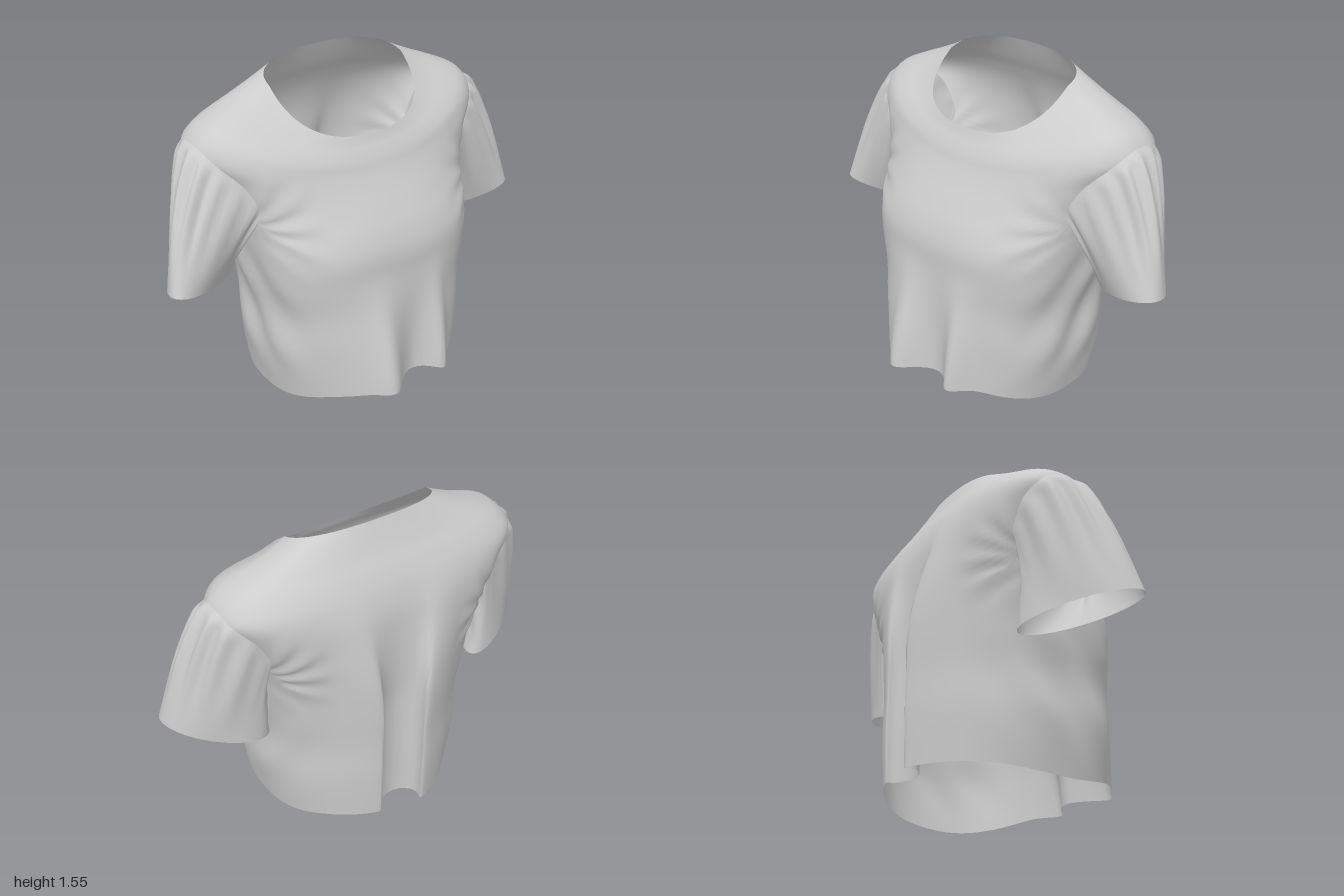
import * as THREE from 'three';

const SEG = 160, STEP = 5;                          // points round the torso, rings per table row
const HOLE = { r0: 25, r1: 42, half: 13 };          // armhole limits in the torso grid

// Torso rings, hem to neckline: half width, side y, side z, front y, front z, back y, back z, front and back squareness
const RINGS = [
  [0.49, 0.00, 0.00, 0.10, 0.45, 0.05, -0.455, 2.5, 2.6],
  [0.53, 0.25, 0.00, 0.32, 0.44, 0.28, -0.46, 2.5, 2.6],
  [0.525, 0.45, -0.02, 0.50, 0.43, 0.48, -0.46, 2.6, 2.6],
  [0.55, 0.62, -0.03, 0.64, 0.42, 0.65, -0.46, 2.8, 2.7],
  [0.57, 0.78, -0.05, 0.76, 0.415, 0.80, -0.465, 2.8, 2.8],
  [0.59, 0.90, -0.08, 0.86, 0.385, 0.92, -0.465, 2.6, 3.0],
  [0.63, 1.02, -0.11, 0.95, 0.34, 1.05, -0.46, 2.3, 3.2],
  [0.70, 1.15, -0.12, 1.04, 0.29, 1.17, -0.45, 2.1, 3.2],
  [0.765, 1.26, -0.13, 1.11, 0.255, 1.27, -0.425, 2.0, 3.0],
  [0.715, 1.345, -0.13, 1.16, 0.235, 1.35, -0.39, 2.1, 2.7],
  [0.61, 1.40, -0.13, 1.20, 0.215, 1.42, -0.35, 2.2, 2.5],
  [0.49, 1.445, -0.12, 1.235, 0.195, 1.49, -0.315, 2.3, 2.4],
  [0.37, 1.49, -0.10, 1.27, 0.18, 1.555, -0.285, 2.4, 2.4],
];
const ROWS = (RINGS.length - 1) * STEP;

const spow = (v, p) => Math.sign(v) * Math.abs(v) ** p;
const bump = (x, c, w) => Math.exp(-(((x - c) / w) ** 2));
const smooth = THREE.MathUtils.smoothstep;

// Smooth interpolation down the columns of the ring table
function ringAt(t) {
  const i = Math.min(Math.floor(t), RINGS.length - 2), f = t - i;
  const row = (k) => RINGS[THREE.MathUtils.clamp(k, 0, RINGS.length - 1)];
  const [a, b, c, d] = [row(i - 1), row(i), row(i + 1), row(i + 2)];
  return b.map((p, k) => p + 0.5 * f * (c[k] - a[k] +
    f * (2 * a[k] - 5 * p + 4 * c[k] - d[k] + f * (3 * (p - c[k]) + d[k] - a[k]))));
}

// Point on the torso; angle 0 is the front, 90 degrees the left side
function torsoPoint(row, seg) {
  const t = row / STEP;
  const [w, ys, zs, yf, zf, yb, zb, nf, nb] = ringAt(t);
  const a = (seg / SEG) * Math.PI * 2, front = Math.cos(a) >= 0;
  const n = front ? nf : nb;
  const rel = Math.abs(Math.cos(a)) ** (2 / n);
  let x = w * spow(Math.sin(a), 2 / n);
  let z = zs + rel * ((front ? zf : zb) - zs);
  const y = ys + rel ** (1.8 - 0.8 * smooth(t, 8.5, 12)) * ((front ? yf : yb) - ys);

  // Tension creases fanning out of the armpits
  const dx = Math.abs(x) - 0.62, dy = y - 0.92, d = Math.hypot(dx, dy);
  const fan = Math.sin(11 * Math.atan2(dy, -dx)) * smooth(d, 0.02, 0.1) * (1 - smooth(d, 0.1, 0.34));
  z += (front ? 1 : -1) * 0.011 * fan * rel;
  // Diagonal drapes on the flanks
  const flank = (1 - rel) * smooth(y, 0.05, 0.3) * (1 - smooth(y, 0.6, 0.85));
  x += Math.sign(x) * 0.011 * flank * Math.sin(15 * (y + 1.4 * z));
  // Hanging folds, deepest at the hem; the back pair leans over a centre pleat
  if (front) {
    const fade = 1 - smooth(y, 0.05, 0.72);
    z += rel * fade * (0.11 * bump(x, -0.13, 0.09) + 0.035 * bump(x, -0.27, 0.09) +
      0.085 * bump(x, 0.2, 0.06) - 0.02 * bump(x, 0.05, 0.07));
  } else {
    const fade = 1 - smooth(y, 0.6, 1.35);
    const right = bump(x, -0.2, 0.1), left = bump(x, 0.22, 0.1);
    z -= rel * fade * (0.115 * right + 0.085 * left - 0.025 * bump(x, 0, 0.09));
    x += fade * (0.1 * right ** 2 - 0.08 * left ** 2);
  }
  return new THREE.Vector3(x, y, z);
}

// Grid point of the torso, with the grid rounded off around each armhole
function gridPoint(i, j) {
  const rc = (HOLE.r0 + HOLE.r1) / 2, rh = (HOLE.r1 - HOLE.r0) / 2;
  const jc = j < SEG / 2 ? SEG / 4 : (3 * SEG) / 4;
  const u = (j - jc) / HOLE.half, v = (i - rc) / rh;
  const m = Math.max(Math.abs(u), Math.abs(v)), r = Math.hypot(u, v);
  const k = r > 0 ? THREE.MathUtils.lerp(m / r, 1, smooth(m, 1, 2)) : 1;
  return torsoPoint(rc + v * k * rh, jc + u * k * HOLE.half);
}

// Surface over a grid of points whose rows close on themselves
function gridGeometry(rows, skip = () => false) {
  const n = rows[0].length, index = [];
  for (let i = 0; i < rows.length - 1; i++) {
    for (let j = 0; j < n; j++) {
      if (skip(i, j)) continue;
      const k = (j + 1) % n, a = i * n + j, b = i * n + k, c = a + n, d = b + n;
      index.push(a, b, d, a, d, c);
    }
  }
  const g = new THREE.BufferGeometry().setFromPoints(rows.flat());
  g.setIndex(index);
  g.computeVertexNormals();
  return g;
}

// Points around the left armhole, in order
function armholeLoop(rows) {
  const { r0, r1, half } = HOLE, j0 = SEG / 4 - half, j1 = SEG / 4 + half, loop = [];
  for (let j = j0; j < j1; j++) loop.push(rows[r0][j]);
  for (let i = r0; i < r1; i++) loop.push(rows[i][j1]);
  for (let j = j1; j > j0; j--) loop.push(rows[r1][j]);
  for (let i = r1; i > r0; i--) loop.push(rows[i][j0]);
  return loop;
}

// Sleeve from the armhole down to its tilted cuff, gathered at the cap
function sleeveGeometry(loop, side) {
  const yc = 1.09, zc = -0.12, count = 28, rows = [];
  for (let i = 0; i <= count; i++) {
    const s = i / count;
    rows.push(loop.map((p) => {
      const phi = Math.atan2((p.z - zc) / 0.2, (p.y - yc) / 0.2);
      const c = Math.cos(phi), q = Math.sin(phi);
      const cuff = new THREE.Vector3(
        0.775 + 0.222 * c + 0.025 * q, 0.63 + 0.055 * c + 0.02 * q, -0.11 + (0.1 - 0.03 * side) * c + 0.15 * q);
      const v = p.clone().lerp(cuff, s);
      const cap = Math.max(c, 0);
      const puff = Math.sqrt(s) * (1 - s) * 2.2;
      const gather = 0.013 * Math.sin(15 * phi + 2 * s) * smooth(s, 0, 0.1) * (1 - smooth(s, 0.25, 0.9)) * (0.3 + 0.7 * cap);
      const wave = 0.008 * Math.sin(5 * phi + 1) * s * (1 - s) * 4;
      const out = gather + wave;
      v.x += 0.037 * puff * cap + out * c;
      v.y += 0.02 * puff * cap + out * 0.3 * c;
      v.z += out * q;
      v.x *= side;
      return v;
    }));
  }
  if (side > 0) rows.reverse(); // keeps the outside facing outward on both sleeves
  return gridGeometry(rows);
}

export function createModel() {
  const group = new THREE.Group();
  group.name = 'shirt';
  const cloth = new THREE.MeshStandardMaterial({ color: 0xcccccc, side: THREE.DoubleSide });
  const add = (name, geometry) => {
    const mesh = new THREE.Mesh(geometry, cloth);
    mesh.name = name;
    group.add(mesh);
  };

  // Torso with two armholes left open
  const rows = Array.from({ length: ROWS + 1 }, (_, i) =>
    Array.from({ length: SEG }, (_, j) => gridPoint(i, j)));
  const inArmhole = (i, j) => i >= HOLE.r0 && i < HOLE.r1 &&
    [SEG / 4, (3 * SEG) / 4].some((m) => j >= m - HOLE.half && j < m + HOLE.half);
  add('torso', gridGeometry(rows, inArmhole));

  // Sleeves
  const loop = armholeLoop(rows);
  add('leftSleeve', sleeveGeometry(loop, 1));
  add('rightSleeve', sleeveGeometry(loop, -1));
  return group;
}
